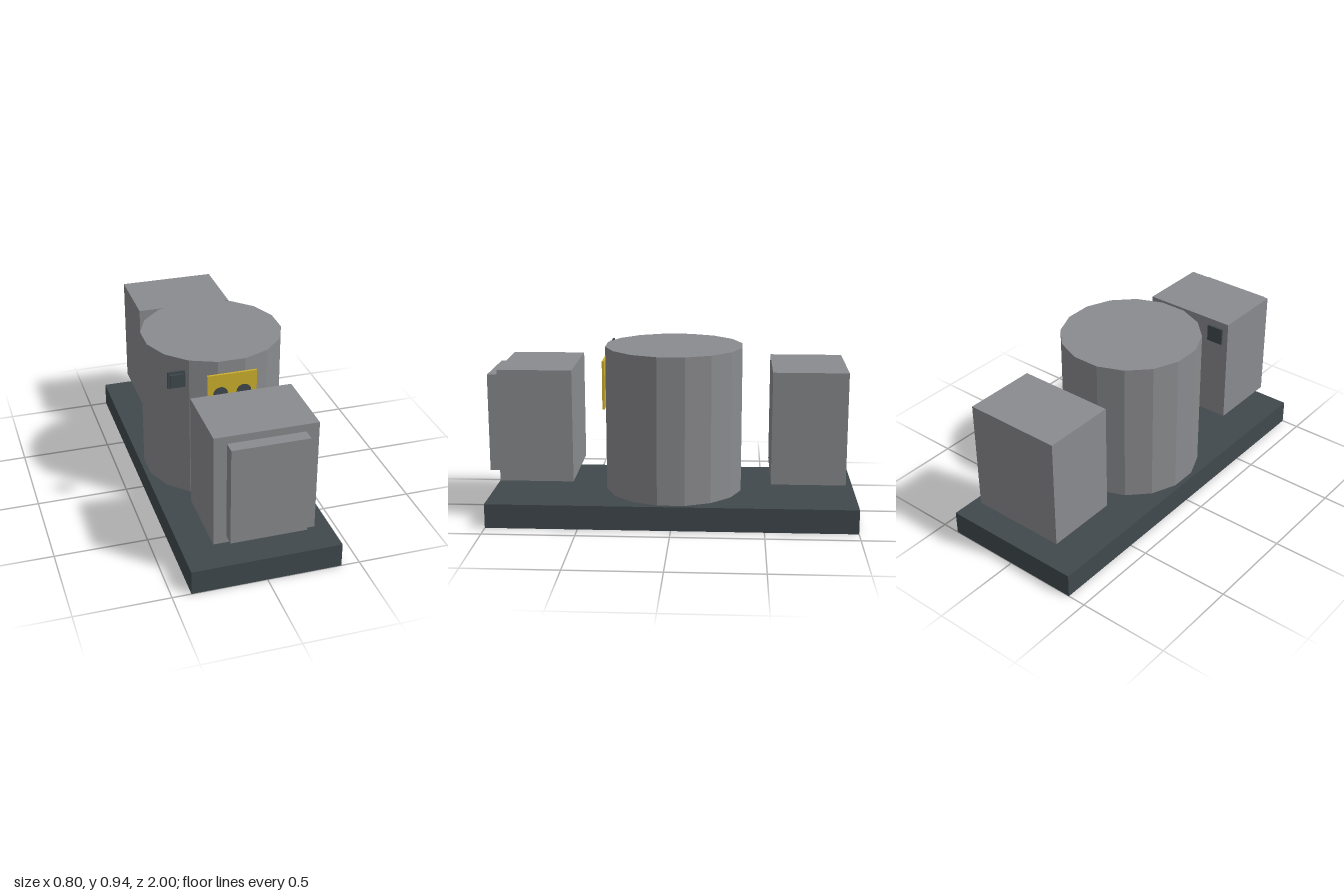
import * as THREE from 'three';

export function createModel() {
  const model = new THREE.Group();
  model.name = 'machineUnit';

  const material = (name, color) => {
    const m = new THREE.MeshStandardMaterial({ color });
    m.name = name;
    return m;
  };
  const grey = material('grey', 0x8a8b8e);
  const slate = material('slate', 0x40494d);
  const yellow = material('yellow', 0xcdb02c);

  const add = (name, geometry, mat, x, y, z) => {
    const mesh = new THREE.Mesh(geometry, mat);
    mesh.name = name;
    mesh.position.set(x, y, z);
    model.add(mesh);
    return mesh;
  };
  // Box given by its minimum and maximum corners
  const box = (name, mat, [x0, y0, z0], [x1, y1, z1]) =>
    add(name, new THREE.BoxGeometry(x1 - x0, y1 - y0, z1 - z0), mat,
      (x0 + x1) / 2, (y0 + y1) / 2, (z0 + z1) / 2);

  // Base slab
  box('base', slate, [-0.4, 0, -1], [0.4, 0.133, 1]);

  // Sixteen-sided tank with a flat facing the front
  const sides = 16;
  const tank = new THREE.CylinderGeometry(0.38, 0.38, 0.803, sides).toNonIndexed();
  tank.rotateY(Math.PI / sides);
  tank.computeVertexNormals();
  add('tank', tank, grey, 0, 0.5345, 0);

  // Housings before and behind the tank, held clear of the base
  box('frontHousing', grey, [-0.267, 0.228, 0.533], [0.267, 0.84, 0.933]);
  box('backHousing', grey, [-0.267, 0.228, -0.933], [0.267, 0.84, -0.533]);
  box('frontPanel', grey, [-0.2, 0.267, 0.933], [0.2, 0.8, 1]);

  // Yellow plate on the tank with two dark discs
  box('yellowPlate', yellow, [-0.133, 0.6, 0.373], [0.133, 0.866, 0.386]);
  for (const side of [-1, 1]) {
    const disc = new THREE.CylinderGeometry(0.04, 0.04, 0.004, 16);
    disc.rotateX(Math.PI / 2);
    add(side > 0 ? 'leftDisc' : 'rightDisc', disc, slate, side * 0.063, 0.755, 0.386);
  }

  // Small switch with a raised button
  box('switchPlate', slate, [-0.34, 0.82, 0.361], [-0.247, 0.912, 0.373]);
  box('switchButton', slate, [-0.328, 0.833, 0.373], [-0.26, 0.9, 0.385]);

  return model;
}
